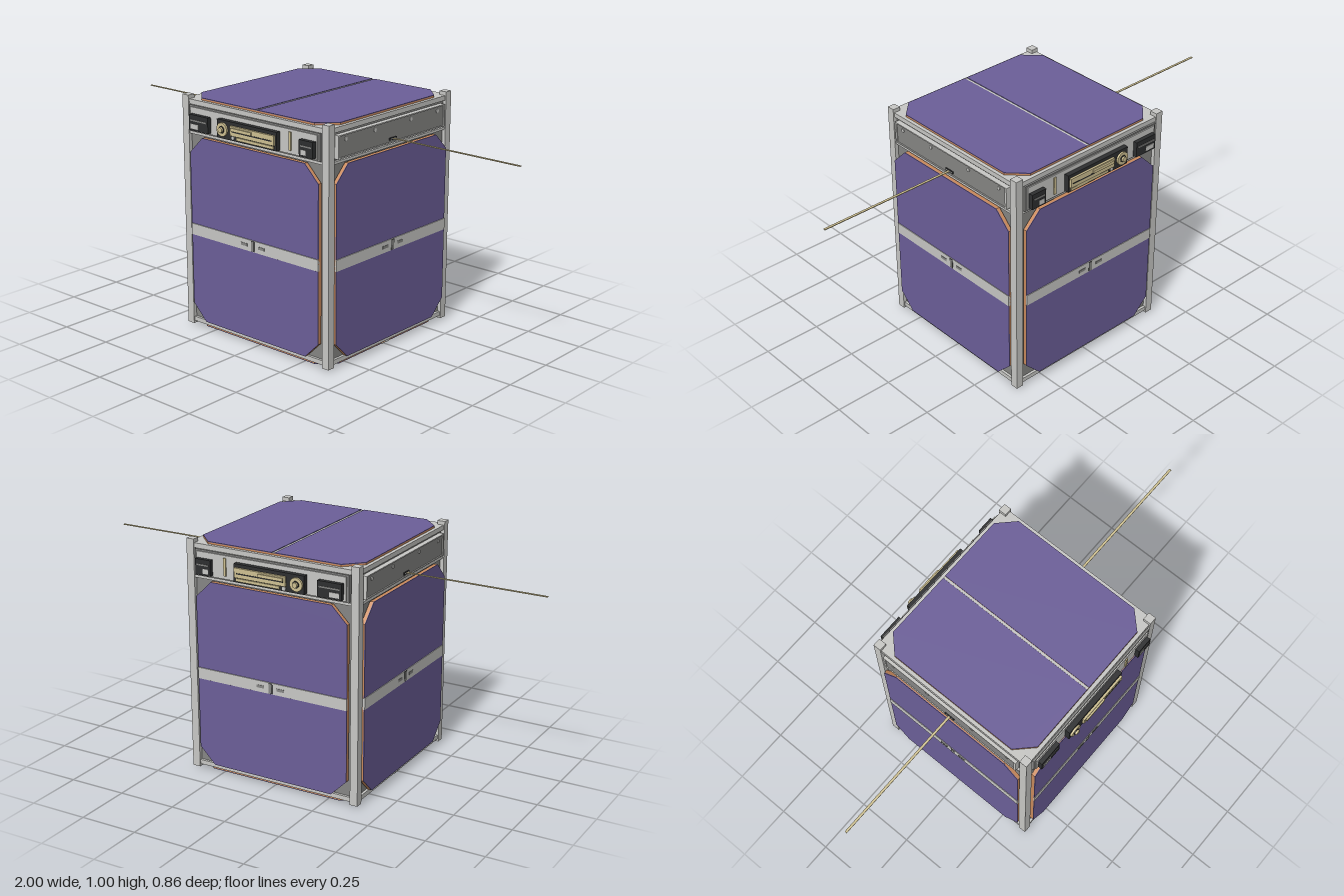
import * as THREE from 'three';

const mat = (name, color) => {
  const m = new THREE.MeshStandardMaterial({ color });
  m.name = name;
  return m;
};

export function createModel() {
  const M = {
    alu: mat('light aluminium', 0xc8c8c5),
    grey: mat('dark grey metal', 0x868684),
    cell: mat('purple solar cell', 0x6c5f99),
    board: mat('orange circuit board', 0xc98a5c),
    black: mat('black plastic', 0x2e2f30),
    brass: mat('cream brass', 0xcfc192),
  };
  const root = new THREE.Group();
  root.name = 'cubeSatellite';

  const add = (parent, name, geo, material) => {
    const m = new THREE.Mesh(geo, material);
    m.name = name;
    parent.add(m);
    return m;
  };
  // box given by its limits on each axis
  const box = (parent, name, material, x0, x1, y0, y1, z0, z1) => {
    const m = add(parent, name, new THREE.BoxGeometry(x1 - x0, y1 - y0, z1 - z0), material);
    m.position.set((x0 + x1) / 2, (y0 + y1) / 2, (z0 + z1) / 2);
    return m;
  };
  // disc whose axis points out of the face
  const disc = (parent, name, material, r, x, y, z0, z1, sides = 24) => {
    const m = add(parent, name, new THREE.CylinderGeometry(r, r, z1 - z0, sides), material);
    m.rotation.x = Math.PI / 2;
    m.position.set(x, y, (z0 + z1) / 2);
    return m;
  };
  const plate = (parent, name, material, points, z0, z1) => {
    const shape = new THREE.Shape(points.map(([x, y]) => new THREE.Vector2(x, y)));
    const geo = new THREE.ExtrudeGeometry(shape, { depth: z1 - z0, bevelEnabled: false });
    const m = add(parent, name, geo, material);
    m.position.z = z0;
    return m;
  };

  // Frame: half width, half depth and rail thickness
  const W = 0.394, D = 0.384, T = 0.034;
  for (const sx of [-1, 1]) for (const sz of [-1, 1]) {
    const rail = add(root, 'cornerRail', new THREE.BoxGeometry(T, 0.995, T), M.alu);
    rail.position.set(sx * (W - T / 2), 0.5055, sz * (D - T / 2));
  }
  box(root, 'bodyCore', M.grey, -0.378, 0.378, 0.03, 0.97, -0.368, 0.368);
  for (const [y0, y1] of [[0.019, 0.038], [0.843, 0.854], [0.967, 0.987]])
    box(root, 'frameBeams', M.alu, -W + 0.005, W - 0.005, y0, y1, -D + 0.005, D - 0.005);

  // Octagonal board with two cells; the split runs along local x
  const solarPanel = (parent, hw, outer, gap, c = 0.07) => {
    const g = new THREE.Group();
    g.name = 'solarPanel';
    parent.add(g);
    plate(g, 'circuitBoard', M.board, [
      [-hw + c, -outer], [hw - c, -outer], [hw, -outer + c], [hw, outer - c],
      [hw - c, outer], [-hw + c, outer], [-hw, outer - c], [-hw, -outer + c]], -0.01, 0.005);
    for (const turn of [0, Math.PI]) {
      const cell = plate(g, 'solarCell', M.cell, [
        [-hw, gap], [hw, gap], [hw, outer - c], [hw - c, outer],
        [-hw + c, outer], [-hw, outer - c]], 0.005, 0.008);
      cell.rotation.z = turn;
    }
    return g;
  };
  // Strip between cells with its hinge bar and slots
  const centreStrip = (g, hw) => {
    box(g, 'centreStrip', M.alu, -hw, hw, -0.024, 0.024, 0, 0.01);
    box(g, 'hingeBarEdge', M.black, -0.009, 0.009, -0.022, 0.022, 0.009, 0.0108);
    box(g, 'hingeBar', M.grey, -0.007, 0.007, -0.02, 0.02, 0.01, 0.012);
    for (const s of [-1, 1])
      box(g, 'stripSlot', M.grey, s * 0.047 - 0.017, s * 0.047 + 0.017, -0.006, 0.006, 0.009, 0.0115);
  };
  // Face group: local z = 0 is the outer plane of the rails
  const face = (name, x, y, z, rx, ry) => {
    const g = new THREE.Group();
    g.name = name;
    g.position.set(x, y, z);
    g.rotation.set(rx, ry, 0);
    root.add(g);
    return g;
  };

  // Connector bay; s mirrors the layout so both ends share the same x order
  const connectorBay = (g, s) => {
    const b = (name, m, x0, x1, y0, y1, z0, z1) =>
      box(g, name, m, Math.min(s * x0, s * x1), Math.max(s * x0, s * x1), y0, y1, z0, z1);
    b('bayEdge', M.grey, -0.352, 0.352, 0.856, 0.967, -0.02, 0.003);
    b('bayPlate', M.alu, -0.342, 0.342, 0.862, 0.96, -0.015, 0.008);
    // socket blocks at each end
    for (const [x0, x1] of [[-0.332, -0.225], [0.265, 0.336]]) {
      b('socket', M.black, x0, x1, 0.868, 0.934, 0, 0.026);
      b('socketLip', M.grey, x0 + 0.008, x1 - 0.008, 0.908, 0.914, 0.024, 0.028);
      b('socketInsert', M.alu, x0 + 0.01, (x0 + x1) / 2, 0.876, 0.896, 0.024, 0.028);
    }
    // central multi-pin connector
    b('connectorBase', M.black, -0.17, 0.152, 0.866, 0.942, 0, 0.029);
    b('connectorShell', M.brass, -0.09, 0.145, 0.888, 0.928, 0.02, 0.038);
    b('connectorSlot', M.black, -0.08, 0.135, 0.903, 0.908, 0.036, 0.039);
    b('connectorTongue', M.brass, -0.08, 0.03, 0.909, 0.922, 0.036, 0.045);
    b('connectorFoot', M.brass, -0.06, 0.14, 0.872, 0.884, 0.02, 0.034);
    disc(g, 'connectorScrew', M.alu, 0.008, s * -0.08, 0.878, 0.02, 0.033);
    // round coaxial socket
    disc(g, 'coaxFlange', M.brass, 0.028, s * -0.137, 0.904, 0.02, 0.037);
    disc(g, 'coaxRing', M.black, 0.015, s * -0.137, 0.904, 0.03, 0.039);
    disc(g, 'coaxPin', M.brass, 0.011, s * -0.137, 0.904, 0.03, 0.047);
    b('verticalContact', M.brass, 0.2, 0.211, 0.876, 0.95, 0, 0.013);
  };

  // Antenna bay with framed cover, screws, slot and ribbon antenna
  const antennaBay = (g) => {
    const frame = new THREE.Shape([[-0.335, 0.862], [0.335, 0.862], [0.335, 0.956], [-0.335, 0.956]]
      .map(([x, y]) => new THREE.Vector2(x, y)));
    frame.holes.push(new THREE.Path([[-0.326, 0.867], [-0.326, 0.951], [0.326, 0.951], [0.326, 0.867]]
      .map(([x, y]) => new THREE.Vector2(x, y))));
    const rim = add(g, 'coverRim', new THREE.ExtrudeGeometry(frame, { depth: 0.024, bevelEnabled: false }), M.alu);
    rim.position.z = -0.018;
    box(g, 'antennaCover', M.grey, -0.326, 0.326, 0.867, 0.951, -0.018, 0.002);
    for (const x of [-0.288, -0.113, 0.113, 0.288])
      disc(g, 'coverScrew', M.alu, 0.008, x, 0.935, 0, 0.005, 12);
    box(g, 'antennaSlot', M.black, -0.023, 0.023, 0.874, 0.884, 0, 0.006);
    box(g, 'antennaSlotLine', M.alu, -0.018, 0.018, 0.8775, 0.8805, 0, 0.0075);
    box(g, 'ribbonAntenna', M.brass, -0.005, 0.005, 0.8775, 0.8805, 0, 1 - W);
  };

  // Four walls
  const walls = [
    ['frontFace', 0, D, 0, 0.348], ['leftFace', W, 0, Math.PI / 2, 0.348],
    ['backFace', 0, -D, Math.PI, 0.348], ['rightFace', -W, 0, -Math.PI / 2, 0.348],
  ];
  walls.forEach(([name, x, z, ry, hw], i) => {
    const g = face(name, x, 0, z, 0, ry);
    const panel = solarPanel(g, hw, 0.4, 0.025);
    panel.position.y = 0.438;
    centreStrip(panel, hw);
    if (i % 2) antennaBay(g);
    else connectorBay(g, i === 0 ? 1 : -1);
  });

  // Top, with a narrow split along z
  const top = face('topFace', 0, 0.989, 0, -Math.PI / 2, 0);
  const topPanel = solarPanel(top, 0.364, 0.374, 0.006);
  topPanel.rotation.z = Math.PI / 2;
  box(topPanel, 'topSplitLine', M.alu, -0.364, 0.364, -0.005, 0.005, 0.004, 0.006);

  // Underside, with a strip along x
  const under = face('bottomFace', 0, 0.012, 0, Math.PI / 2, 0);
  centreStrip(solarPanel(under, 0.374, 0.364, 0.025), 0.374);

  root.position.z = -0.008;
  const model = new THREE.Group();
  model.name = 'model';
  model.add(root);
  return model;
}
